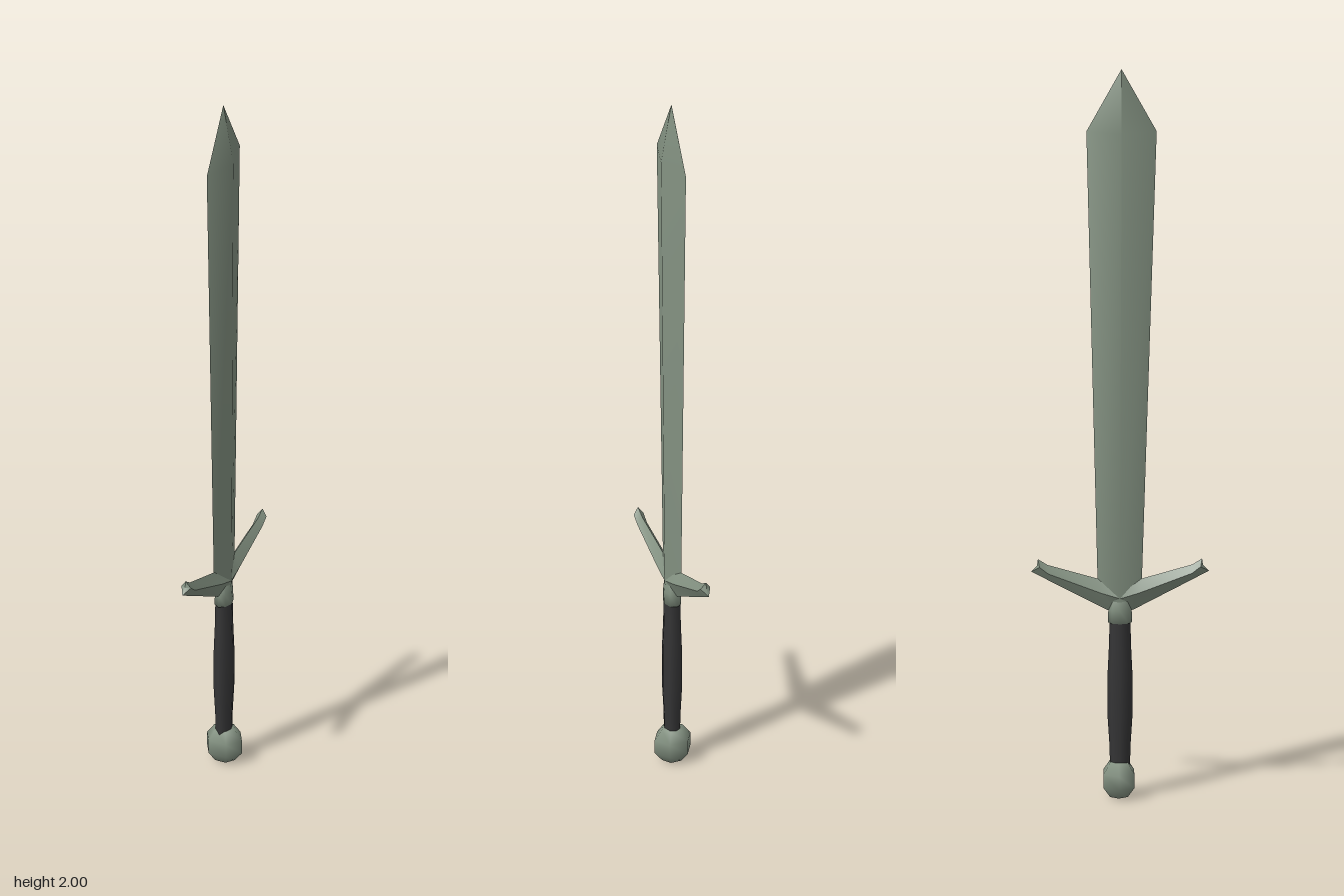
import * as THREE from 'three';
import { toCreasedNormals } from 'three/addons/utils/BufferGeometryUtils.js';

// Skin a list of equal-sized rings, closing both ends with a fan about the ring centre
function loft(rings, crease = 0.75) {
  const n = rings[0].length, pos = [], idx = [];
  rings.forEach(r => r.forEach(p => pos.push(...p)));
  for (let k = 0; k < rings.length - 1; k++) {
    for (let i = 0; i < n; i++) {
      const a = k * n + i, b = k * n + (i + 1) % n;
      idx.push(a, b, b + n, a, b + n, a + n);
    }
  }
  [0, rings.length - 1].forEach((k, end) => {
    const c = pos.length / 3;
    for (let j = 0; j < 3; j++) pos.push(rings[k].reduce((s, p) => s + p[j], 0) / n);
    for (let i = 0; i < n; i++) {
      const a = k * n + i, b = k * n + (i + 1) % n;
      idx.push(...(end ? [a, b, c] : [b, a, c]));
    }
  });
  const g = new THREE.BufferGeometry();
  g.setAttribute('position', new THREE.Float32BufferAttribute(pos, 3));
  g.setIndex(idx);
  return toCreasedNormals(g, crease);
}

// Turned part with an oval plan
function turned(profile, sides, depthScale, start = 0) {
  const pts = profile.map(([r, y]) => new THREE.Vector2(r, y));
  return new THREE.LatheGeometry(pts, sides, start).scale(1, 1, depthScale);
}

export function createModel() {
  const metal = new THREE.MeshStandardMaterial({ color: 0x829080 });
  metal.name = 'grey green metal';
  const leather = new THREE.MeshStandardMaterial({ color: 0x353536 });
  leather.name = 'dark leather';

  const group = new THREE.Group();
  group.name = 'sword';
  const add = (name, geometry, material) => {
    const mesh = new THREE.Mesh(geometry, material);
    mesh.name = name;
    group.add(mesh);
  };

  // Blade: diamond sections that widen upwards, then close to a point
  const bladeRing = (y, w, d, z) => [[w, y, z], [0, y, z - d], [-w, y, z], [0, y, z + d]];
  add('blade', loft([
    bladeRing(0.54, 0.022, 0.057, -0.001),
    bladeRing(1.83, 0.03, 0.093, 0.004),
    bladeRing(2.0, 0.0005, 0.0005, 0.004),
  ]), metal);

  // Crossguard: [half width, top z, top y, side z, side y, bottom z, bottom y] from centre to end
  const arm = [
    [0.022, 0, 0.6, 0, 0.55, 0, 0.5],
    [0.02, 0.06, 0.6, 0.05, 0.565, 0.037, 0.515],
    [0.014, 0.192, 0.638, 0.19, 0.617, 0.192, 0.597],
    [0.014, 0.217, 0.654, 0.213, 0.635, 0.235, 0.62],
  ];
  const guardRing = ([w, tz, ty, sz, sy, bz, by], s) =>
    [[w, sy, s * sz], [0, ty, s * tz], [-w, sy, s * sz], [0, by, s * bz]];
  add('crossguard', loft([
    ...arm.slice(1).reverse().map(a => guardRing(a, -1)),
    ...arm.map(a => guardRing(a, 1)),
  ]), metal);

  // Collar joining guard and grip
  add('collar', turned([[0, 0.475], [0.023, 0.48], [0.022, 0.515], [0.018, 0.56], [0, 0.57]], 8, 1.4), metal);

  // Grip: slightly swollen in the middle
  add('grip', turned([[0.021, 0.085], [0.022, 0.14], [0.026, 0.22], [0.026, 0.34], [0.023, 0.42], [0.022, 0.482]],
    8, 1.26), leather);

  // Pommel: faceted ball
  const pommel = turned([[0, 0], [0.03, 0.003], [0.052, 0.03], [0.052, 0.068], [0.03, 0.097], [0, 0.1]],
    6, 0.9, Math.PI / 2);
  add('pommel', pommel.translate(0, 0, -0.003), metal);

  return group;
}
